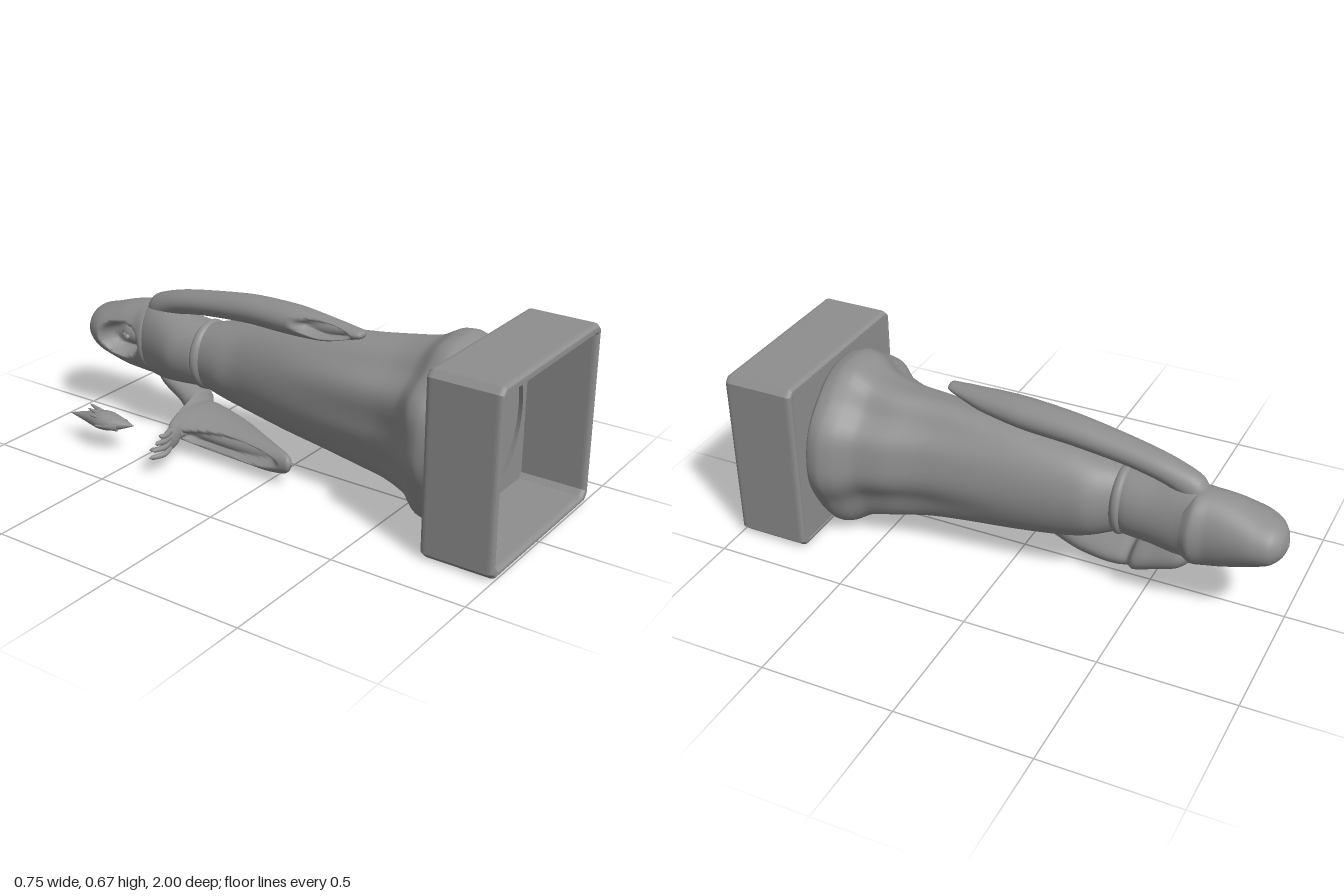
import * as THREE from 'three';

const mat = new THREE.MeshStandardMaterial({ color: 0x8e8e8e, side: THREE.DoubleSide });

function add(parent, name, geo) {
  const mesh = new THREE.Mesh(geo, mat);
  mesh.name = name;
  parent.add(mesh);
  return mesh;
}

// Smooth skin over elliptical sections [z, centreX, centreY, radiusX, radiusY], z rising
function loft(sections, { rings = 48, segs = 48, warp } = {}) {
  const centre = new THREE.CatmullRomCurve3(sections.map(s => new THREE.Vector3(s[1], s[2], s[0])), false, 'catmullrom', 0.4);
  const radius = new THREE.CatmullRomCurve3(sections.map(s => new THREE.Vector3(s[3], s[4], 0)), false, 'catmullrom', 0.4);
  const pos = [], index = [];
  for (let i = 0; i <= rings; i++) {
    const c = centre.getPoint(i / rings), r = radius.getPoint(i / rings);
    for (let j = 0; j < segs; j++) {
      const a = (j / segs) * Math.PI * 2;
      const p = new THREE.Vector3(c.x + r.x * Math.cos(a), c.y + r.y * Math.sin(a), c.z);
      if (warp) warp(p, a, c);
      pos.push(p.x, p.y, p.z);
      if (i < rings) {
        const k = i * segs + j, n = i * segs + (j + 1) % segs;
        index.push(k, n, n + segs, k, n + segs, k + segs);
      }
    }
  }
  const geo = new THREE.BufferGeometry();
  geo.setAttribute('position', new THREE.Float32BufferAttribute(pos, 3));
  geo.setIndex(index);
  geo.computeVertexNormals();
  return geo;
}

// Hollow pressed into the -x side of a loft
const hollow = (z, y, halfZ, halfY, depth) => (p, a) => {
  if (Math.cos(a) > 0) return;
  const d = Math.hypot((p.z - z) / halfZ, (p.y - y) / halfY);
  p.x += depth * (1 - THREE.MathUtils.smoothstep(d, 0.7, 1));
};

// Tube along points that narrows from r0 to r1
function taper(points, r0, r1) {
  const curve = new THREE.CatmullRomCurve3(points.map(p => new THREE.Vector3(...p)));
  const n = 10, sides = 10;
  const geo = new THREE.TubeGeometry(curve, n, 1, sides);
  const pos = geo.attributes.position, v = new THREE.Vector3();
  for (let i = 0; i <= n; i++) {
    const c = curve.getPointAt(i / n);
    const r = i === n ? 0.001 : THREE.MathUtils.lerp(r0, r1, i / n);
    for (let j = 0; j <= sides; j++) {
      const k = i * (sides + 1) + j;
      v.fromBufferAttribute(pos, k).sub(c).multiplyScalar(r).add(c);
      pos.setXYZ(k, v.x, v.y, v.z);
    }
  }
  geo.computeVertexNormals();
  return geo;
}

// Rectangle with cut corners
function cutRect(T, x0, y0, x1, y1, c) {
  return new T([[x0 + c, y0], [x1 - c, y0], [x1, y0 + c], [x1, y1 - c], [x1 - c, y1], [x0 + c, y1], [x0, y1 - c], [x0, y0 + c]]
    .map(p => new THREE.Vector2(...p)));
}

function createPlinth() {
  const g = new THREE.Group();
  g.name = 'plinth';
  const shape = cutRect(THREE.Shape, -0.328, 0.015, 0.375, 0.682, 0.022);
  shape.holes.push(cutRect(THREE.Path, -0.302, 0.042, 0.347, 0.66, 0.018));
  const bevel = 0.012, thick = 0.02;
  const walls = new THREE.ExtrudeGeometry(shape, {
    depth: 0.27 - 2 * thick, bevelEnabled: true, bevelSize: bevel, bevelOffset: -bevel, bevelThickness: thick, bevelSegments: 4,
  });
  add(g, 'plinthWalls', walls).position.z = 0.73 + thick;
  add(g, 'plinthPlate', new THREE.BoxGeometry(0.67, 0.635, 0.02)).position.set(0.023, 0.35, 0.742);
  return g;
}

function createHand() {
  const g = new THREE.Group();
  g.name = 'raisedHand';
  add(g, 'wrist', taper([[-0.12, 0.11, -0.39], [-0.19, 0.11, -0.388], [-0.255, 0.115, -0.375]], 0.022, 0.018));
  const palm = add(g, 'palm', new THREE.SphereGeometry(1, 20, 14));
  palm.scale.set(0.055, 0.042, 0.017);
  palm.position.set(-0.26, 0.118, -0.372);
  const tips = [[-0.375, 0.08, -0.38], [-0.378, 0.115, -0.362], [-0.368, 0.142, -0.355], [-0.34, 0.163, -0.36]];
  tips.forEach((t, i) => {
    const y = 0.09 + i * 0.02;
    add(g, 'finger', taper([[-0.265, y, -0.372], [-0.32, (y + t[1]) / 2, -0.352], t], 0.012, 0.008));
  });
  add(g, 'thumb', taper([[-0.235, 0.095, -0.385], [-0.275, 0.075, -0.405], [-0.305, 0.07, -0.44]], 0.015, 0.007));
  return g;
}

function createFlame() {
  const g = new THREE.Group();
  g.name = 'flame';
  add(g, 'flameCore', loft([
    [-0.838, -0.295, 0.115, 0.001, 0.001], [-0.77, -0.292, 0.12, 0.02, 0.016], [-0.68, -0.288, 0.125, 0.047, 0.034],
    [-0.62, -0.286, 0.125, 0.04, 0.028], [-0.54, -0.275, 0.13, 0.002, 0.002],
  ], { rings: 24, segs: 24 }));
  // Short tongues of fire licking off the core
  for (let i = 0; i < 7; i++) {
    const a = i * 2.4, z = -0.6 - (i % 4) * 0.03;
    const at = (r, dz) => [-0.288 + Math.cos(a) * r, 0.125 + Math.sin(a) * r * 0.7, z + dz];
    add(g, 'flameTongue', taper([at(0.02, 0.01), at(0.036, -0.03), at(0.052, -0.08)], 0.016, 0.003));
  }
  return g;
}

export function createModel() {
  const model = new THREE.Group();
  model.name = 'robedStatue';
  model.add(createPlinth());

  // Long skirt with folds that deepen toward the flared hem
  add(model, 'robeSkirt', loft([
    [-0.4, 0.015, 0.355, 0.1, 0.125], [-0.3, 0.035, 0.35, 0.13, 0.155], [-0.2, 0.042, 0.348, 0.135, 0.18],
    [0, 0.038, 0.347, 0.157, 0.21], [0.3, 0.033, 0.345, 0.187, 0.237], [0.45, 0.042, 0.343, 0.217, 0.255],
    [0.55, 0.035, 0.341, 0.245, 0.278], [0.62, 0.025, 0.34, 0.295, 0.318], [0.67, 0.024, 0.34, 0.312, 0.328],
    [0.715, 0.022, 0.342, 0.305, 0.315], [0.735, 0.01, 0.346, 0.287, 0.298], [0.77, 0.006, 0.348, 0.278, 0.29],
  ], {
    rings: 77, segs: 72, warp(p, a, c) {
      const k = 0.04 * THREE.MathUtils.smoothstep(c.z, -0.1, 0.5) * (1 - THREE.MathUtils.smoothstep(c.z, 0.58, 0.8));
      const f = 1 + k * (Math.sin(5 * a + 0.6) + 0.6 * Math.sin(9 * a + 2 + c.z * 2));
      p.x = c.x + (p.x - c.x) * f;
      p.y = c.y + (p.y - c.y) * f;
    },
  }));

  // Torso, sash and shoulders
  add(model, 'torso', loft([
    [-0.76, 0.05, 0.35, 0.05, 0.06], [-0.7, 0.05, 0.355, 0.1, 0.14], [-0.62, 0.035, 0.355, 0.112, 0.15],
    [-0.52, 0.02, 0.355, 0.122, 0.137], [-0.43, 0.02, 0.355, 0.115, 0.13], [-0.38, 0.018, 0.355, 0.1, 0.125],
  ]));
  add(model, 'sash', loft([
    [-0.418, 0.02, 0.355, 0.108, 0.122], [-0.405, 0.02, 0.355, 0.12, 0.135],
    [-0.388, 0.02, 0.355, 0.118, 0.134], [-0.37, 0.02, 0.355, 0.1, 0.12],
  ], { rings: 12 }));

  // Hood with a recessed face
  add(model, 'hood', loft([
    [-1, 0.06, 0.36, 0.004, 0.004], [-0.985, 0.058, 0.36, 0.055, 0.045], [-0.95, 0.05, 0.357, 0.098, 0.077],
    [-0.89, 0.041, 0.354, 0.119, 0.1], [-0.8, 0.044, 0.352, 0.117, 0.131], [-0.73, 0.052, 0.352, 0.112, 0.145],
    [-0.68, 0.058, 0.352, 0.122, 0.145], [-0.645, 0.07, 0.35, 0.098, 0.112],
  ], { rings: 64, segs: 72, warp: hollow(-0.785, 0.352, 0.095, 0.068, 0.075) }));
  const face = add(model, 'face', new THREE.SphereGeometry(1, 24, 16));
  face.scale.set(0.045, 0.045, 0.07);
  face.position.set(0.03, 0.352, -0.775);
  add(model, 'nose', taper([[-0.008, 0.352, -0.81], [-0.022, 0.352, -0.785], [-0.025, 0.352, -0.768]], 0.008, 0.011));

  // Lowered arm with a long open sleeve
  add(model, 'loweredArm', loft([
    [-0.715, 0.045, 0.46, 0.015, 0.02], [-0.67, 0.042, 0.48, 0.048, 0.055], [-0.55, 0.035, 0.527, 0.057, 0.047],
    [-0.4, 0.025, 0.556, 0.06, 0.047], [-0.2, 0.015, 0.58, 0.066, 0.052], [0, 0, 0.587, 0.07, 0.053],
    [0.15, -0.015, 0.59, 0.058, 0.043], [0.26, -0.025, 0.602, 0.038, 0.023], [0.305, -0.03, 0.607, 0.026, 0.014],
    [0.315, -0.03, 0.607, 0.003, 0.003],
  ], { warp: hollow(0.16, 0.595, 0.12, 0.03, 0.045) }));

  // Raised arm, with a forearm cuff and a hanging sleeve
  add(model, 'raisedArm', loft([
    [-0.7, 0.06, 0.25, 0.02, 0.02], [-0.63, 0.06, 0.212, 0.06, 0.048], [-0.53, 0.045, 0.168, 0.066, 0.05],
    [-0.46, 0.015, 0.138, 0.085, 0.055], [-0.432, -0.065, 0.12, 0.137, 0.052], [-0.39, -0.068, 0.112, 0.136, 0.058],
    [-0.32, -0.07, 0.104, 0.127, 0.058], [-0.2, -0.086, 0.096, 0.105, 0.055], [-0.02, -0.128, 0.092, 0.055, 0.05],
    [0.06, -0.15, 0.098, 0.03, 0.04], [0.088, -0.16, 0.103, 0.018, 0.027], [0.1, -0.163, 0.105, 0.003, 0.004],
  ], { rings: 66, warp: hollow(-0.18, 0.1, 0.24, 0.036, 0.045) }));

  model.add(createHand(), createFlame());
  return model;
}
